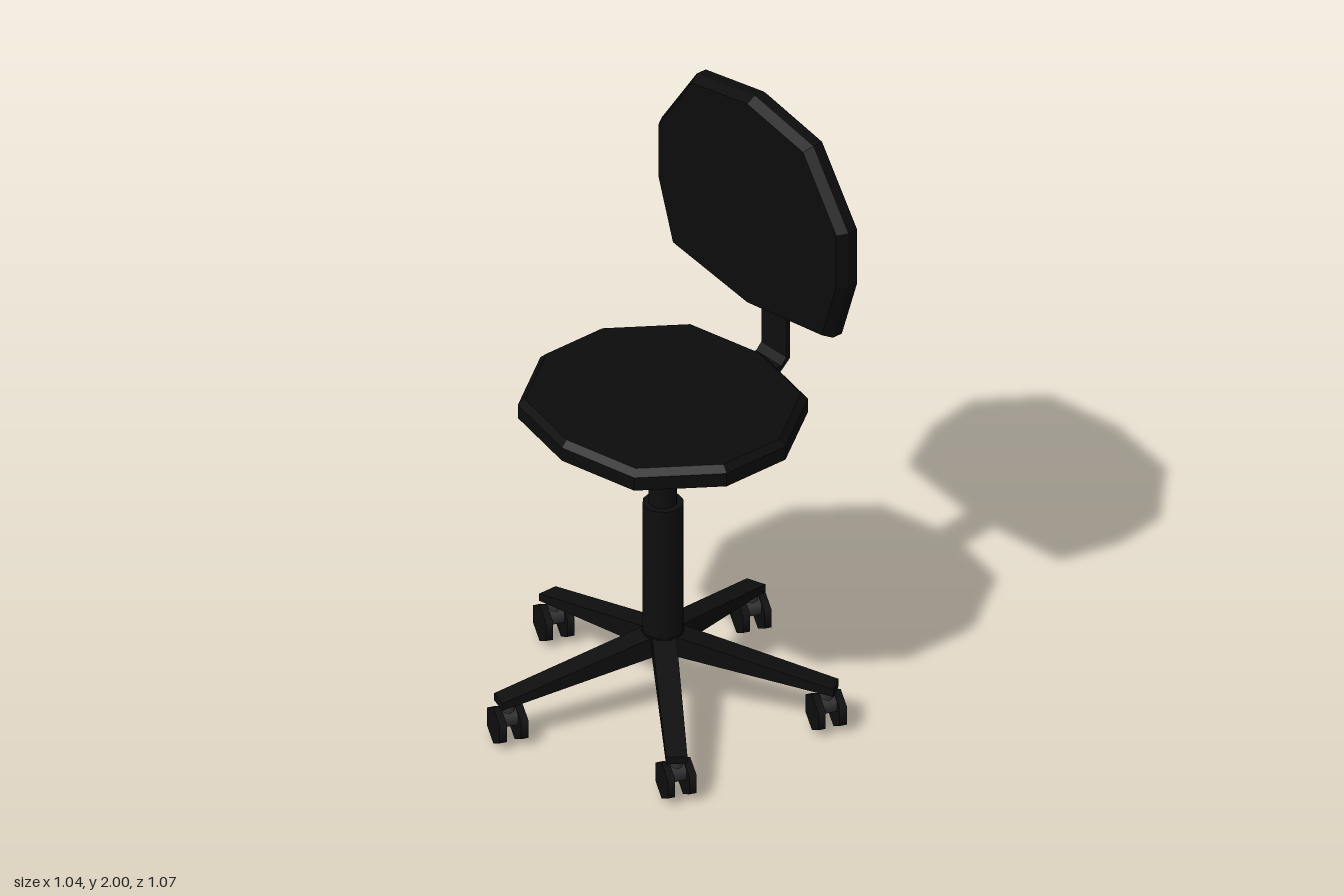
import * as THREE from 'three';

const fabric = new THREE.MeshStandardMaterial({ color: 0x0c0c0c });
fabric.name = 'blackFabric';
const frame = new THREE.MeshStandardMaterial({ color: 0x0e0e0e });
frame.name = 'blackFrame';
const grey = new THREE.MeshStandardMaterial({ color: 0x333333 });
grey.name = 'darkGrey';

function add(parent, name, geometry, material, x = 0, y = 0, z = 0) {
  const mesh = new THREE.Mesh(geometry, material);
  mesh.name = name;
  mesh.position.set(x, y, z);
  parent.add(mesh);
  return mesh;
}

// Mirrors the right half of an outline (top point to bottom point, clockwise)
// and returns the full outline counter-clockwise.
function mirrored(half) {
  const left = half.slice(1, -1).reverse().map(([x, y]) => [-x, y]);
  return [...half, ...left].reverse();
}

// Faceted cushion: the outline is repeated along z as rings of [z, scale, lift].
function cushion(outline, rings) {
  const pos = [];
  const n = outline.length;
  const loops = rings.map(([z, s, lift = 0]) => outline.map(([x, y]) => [x * s, y * s + lift, z]));
  for (let r = 0; r < loops.length - 1; r++) {
    for (let i = 0; i < n; i++) {
      const j = (i + 1) % n;
      const [a, b, c, d] = [loops[r][i], loops[r][j], loops[r + 1][j], loops[r + 1][i]];
      pos.push(...a, ...b, ...c, ...a, ...c, ...d);
    }
  }
  const back = loops[0], front = loops[loops.length - 1];
  for (let i = 1; i < n - 1; i++) {
    pos.push(...back[0], ...back[i + 1], ...back[i]);
    pos.push(...front[0], ...front[i], ...front[i + 1]);
  }
  const g = new THREE.BufferGeometry();
  g.setAttribute('position', new THREE.Float32BufferAttribute(pos, 3));
  g.computeVertexNormals();
  return g;
}

// Sloping leg along +x, thinning towards its tip
function legGeometry() {
  const g = new THREE.BoxGeometry(0.53, 1, 1).toNonIndexed();
  g.translate(0.265, 0, 0);
  const p = g.attributes.position;
  for (let i = 0; i < p.count; i++) {
    const t = p.getX(i) / 0.53;
    const top = p.getY(i) > 0;
    p.setY(i, top ? 0.285 - 0.13 * t : 0.212 - 0.082 * t);
    p.setZ(i, p.getZ(i) * (0.074 - 0.01 * t));
  }
  g.computeVertexNormals();
  return g;
}

// Twin-wheel caster, wheels turning about local z
function caster() {
  const g = new THREE.Group();
  g.name = 'caster';
  const wheel = new THREE.CylinderGeometry(0.0625, 0.0625, 0.023, 6).rotateX(Math.PI / 2);
  for (const side of [-1, 1]) add(g, 'wheel', wheel, frame, 0, 0.0625, side * 0.034);
  const housing = new THREE.CylinderGeometry(0.034, 0.034, 0.046, 6).rotateX(Math.PI / 2);
  add(g, 'casterHousing', housing, grey, 0, 0.085, 0);
  add(g, 'casterStem', new THREE.CylinderGeometry(0.022, 0.022, 0.05, 8), grey, 0, 0.118, 0);
  return g;
}

export function createModel() {
  const model = new THREE.Group();
  model.name = 'officeChair';
  const chair = new THREE.Group();
  chair.name = 'chair';
  chair.position.x = 0.043;
  model.add(chair);

  // Seat
  const seatOutline = mirrored([[0, 0.395], [0.267, 0.34], [0.427, 0.115],
    [0.427, -0.115], [0.267, -0.34], [0, -0.395]]);
  const seat = cushion(seatOutline, [[1.0, 0.9], [1.025, 1], [1.07, 1], [1.09, 0.95]]);
  add(chair, 'seat', seat.rotateX(-Math.PI / 2), fabric);

  // Backrest
  const backOutline = mirrored([[0, 0.38], [0.267, 0.33], [0.427, 0.1],
    [0.427, -0.09], [0.357, -0.3], [0, -0.35]]);
  const back = cushion(backOutline,
    [[-0.42, 0.885, 0.015], [-0.395, 1], [-0.36, 1], [-0.33, 0.955]]);
  add(chair, 'backrest', back, fabric, 0, 1.62, 0);

  // Bent support bar, profile drawn in z and y
  const profile = new THREE.Shape([[-0.375, 1.035], [-0.41, 1.035], [-0.448, 1.07], [-0.448, 1.55],
    [-0.415, 1.55], [-0.415, 1.45], [-0.434, 1.45], [-0.434, 1.078], [-0.413, 1.055], [-0.375, 1.055],
  ].map(([z, y]) => new THREE.Vector2(z, y)));
  const bar = new THREE.ExtrudeGeometry(profile, { depth: 0.115, bevelEnabled: false });
  bar.translate(0, 0, -0.0575).rotateY(-Math.PI / 2);
  add(chair, 'backSupport', bar, frame);

  // Column
  add(chair, 'gasLift', new THREE.CylinderGeometry(0.043, 0.043, 0.32, 12), frame, 0, 0.85, 0);
  add(chair, 'columnSleeve', new THREE.CylinderGeometry(0.062, 0.062, 0.47, 12), frame, 0, 0.485, 0);
  add(chair, 'hub', new THREE.CylinderGeometry(0.065, 0.065, 0.07, 10), frame, 0, 0.24, 0);

  // Five legs with casters, all wheels turned the same way
  const leg = legGeometry();
  for (let i = 0; i < 5; i++) {
    const a = Math.PI + i * Math.PI * 0.4;
    add(chair, 'leg', leg, frame).rotation.y = -a;
    const c = caster();
    c.position.set(Math.cos(a) * 0.5, 0, Math.sin(a) * 0.5);
    c.rotation.y = -0.35;
    chair.add(c);
  }
  return model;
}
